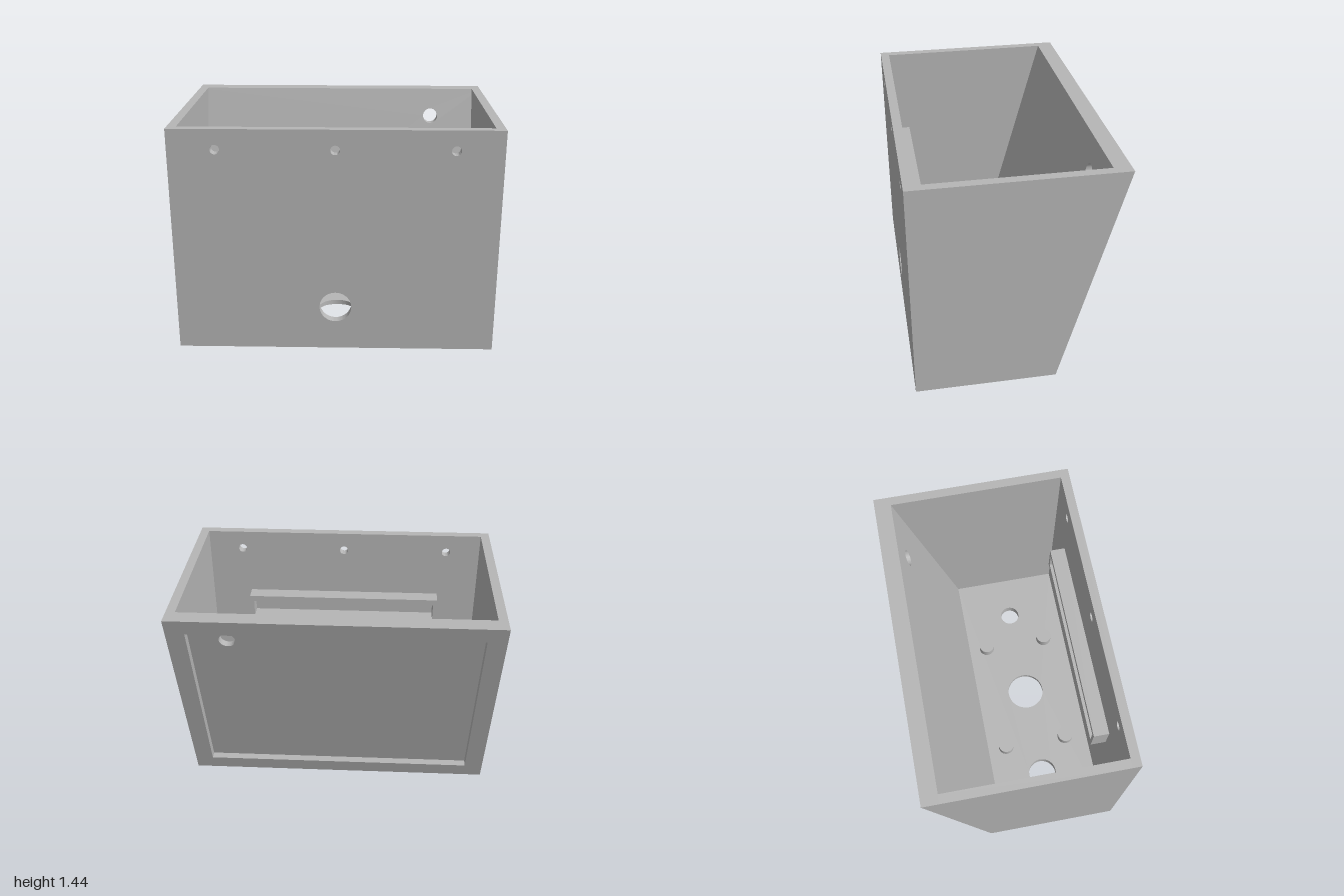
import * as THREE from 'three';
import { toCreasedNormals } from 'three/addons/utils/BufferGeometryUtils.js';

const W = 1, H = 1.44, T = 0.057;          // half width, height, wall thickness
const FRONT = 0.635, BACK = -0.25;         // front plane, back plane at the base
const LEAN = -0.385 / H;                   // change of z per unit of height in the back wall
const INNER_BACK = BACK + 0.105;           // inside of the back wall at the base

const grey = new THREE.MeshStandardMaterial({ color: 0xb6b6b6 });
grey.name = 'plain grey';

function rect(Type, x0, y0, x1, y1) {
  return new Type([[x0, y0], [x1, y0], [x1, y1], [x0, y1]].map(p => new THREE.Vector2(...p)));
}

function circle(x, y, r) {
  return new THREE.Path().absarc(x, y, r, 0, Math.PI * 2, true);
}

// Flat plate drawn in x and y, from z = 0 to z = depth
function plate(shape, depth, holes = []) {
  shape.holes.push(...holes);
  const geo = new THREE.ExtrudeGeometry(shape, { depth, bevelEnabled: false, curveSegments: 40 });
  return toCreasedNormals(geo, 0.6);
}

export function createModel() {
  const model = new THREE.Group();
  model.name = 'enclosure';
  const add = (name, geo, parent = model) => {
    const mesh = new THREE.Mesh(geo, grey);
    mesh.name = name;
    parent.add(mesh);
    return mesh;
  };

  // Front wall with three screw holes and a cable hole
  const frontHoles = [-0.713, 0, 0.713].map(x => circle(x, 1.315, 0.029));
  frontHoles.push(circle(0, 0.29, 0.1));
  add('frontWall', plate(rect(THREE.Shape, -W, 0, W, H), T, frontHoles).translate(0, 0, FRONT - T));

  // Side walls with slanted rear edges
  for (const side of [-1, 1]) {
    const z0 = FRONT - T;
    const profile = new THREE.Shape([
      new THREE.Vector2(-z0, 0), new THREE.Vector2(-INNER_BACK, 0),
      new THREE.Vector2(-INNER_BACK - LEAN * H, H), new THREE.Vector2(-z0, H),
    ]);
    const geo = plate(profile, T).rotateY(Math.PI / 2);
    add(side > 0 ? 'leftWall' : 'rightWall', geo.translate(side > 0 ? W - T : -W, 0, 0));
  }

  // Leaning back wall: an outer frame around a recessed panel
  const shear = new THREE.Matrix4().set(1, 0, 0, 0, 0, 1, 0, 0, 0, LEAN, 1, 0, 0, 0, 0, 1);
  const backWall = new THREE.Group();
  backWall.name = 'backWall';
  model.add(backWall);
  const recess = rect(THREE.Path, -0.883, 0.105, 0.883, 1.335);
  add('backFrame', plate(rect(THREE.Shape, -W, 0, W, H), 0.052, [recess])
    .translate(0, 0, BACK).applyMatrix4(shear), backWall);
  add('backPanel', plate(rect(THREE.Shape, -W, 0, W, H), 0.053, [circle(0.65, 1.255, 0.05)])
    .translate(0, 0, BACK + 0.052).applyMatrix4(shear), backWall);

  // Floor in two layers, so the middle hole is wider underneath
  const floor = new THREE.Group();
  floor.name = 'floor';
  model.add(floor);
  const layers = [['floorBottom', 0, 0.028, 0.177], ['floorTop', 0.028, T, 0.13]];
  for (const [name, y0, y1, r] of layers) {
    const shape = rect(THREE.Shape, -W + T, T - FRONT, W - T, -INNER_BACK - LEAN * y1);
    const holes = [circle(-0.64, -0.2, 0.098), circle(0, -0.2, r), circle(0.64, -0.2, 0.068)];
    add(name, plate(shape, y1 - y0, holes).rotateX(-Math.PI / 2).translate(0, y0, 0), floor);
  }

  // Four short mounting posts
  for (const x of [-0.4, 0.4]) {
    for (const z of [-0.027, 0.42]) {
      add('mountingPost', new THREE.CylinderGeometry(0.055, 0.055, 0.06, 32)).position.set(x, T + 0.03, z);
    }
  }

  // Open holder on the inside of the front wall
  const opening = rect(THREE.Path, -0.643, 0.825, 0.643, 0.945);
  add('holder', plate(rect(THREE.Shape, -0.67, 0.785, 0.67, 0.985), 0.1, [opening])
    .translate(0, 0, FRONT - T - 0.1));

  return model;
}
